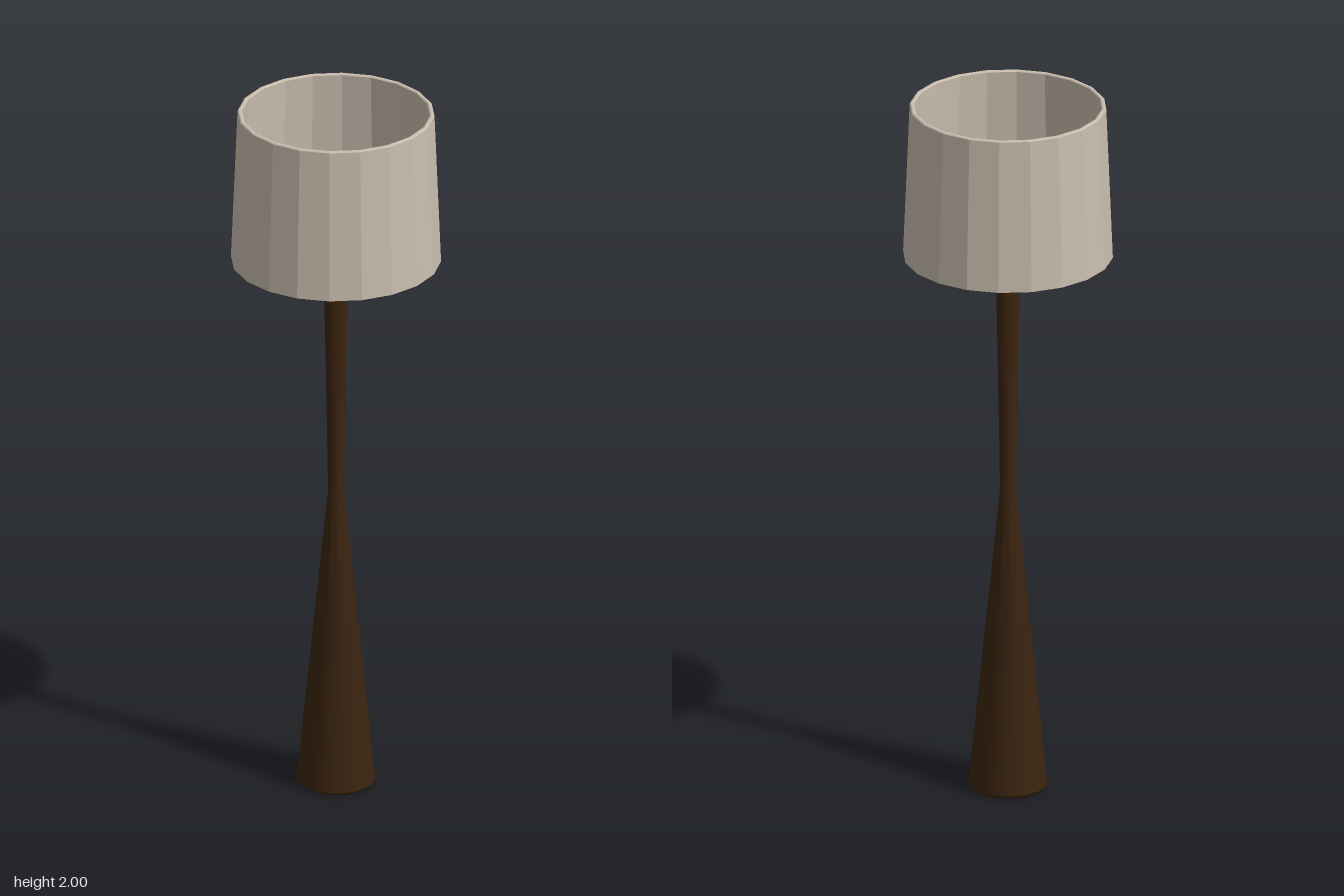
import * as THREE from 'three';
import { toCreasedNormals } from 'three/addons/utils/BufferGeometryUtils.js';

const SIDES = 20;

const colour = (name, hex) => {
  const m = new THREE.MeshStandardMaterial({ color: hex });
  m.name = name;
  return m;
};

// Turned part from [radius, height] pairs; crease 0 gives flat facets
function turned(points, crease) {
  const g = new THREE.LatheGeometry(points.map(([r, y]) => new THREE.Vector2(r, y)), SIDES);
  return toCreasedNormals(g, crease);
}

export function createModel() {
  const lamp = new THREE.Group();
  lamp.name = 'floorLamp';

  const wood = colour('dark wood', 0x3b2410);
  const felt = colour('base felt', 0x351c1a);
  const fabric = colour('beige fabric', 0xc9bdae);
  const metal = colour('grey metal', 0x85838a);

  const add = (name, geometry, material) => {
    const mesh = new THREE.Mesh(geometry, material);
    mesh.name = name;
    lamp.add(mesh);
    return mesh;
  };

  // Hourglass post: wide foot, narrow waist, slightly wider top
  add('post', turned([
    [0.102, 0], [0.108, 0.008], [0.022, 0.87], [0.023, 0.95], [0.034, 1.56], [0.035, 1.62],
  ], 0.5), wood);
  const foot = add('footPad', new THREE.CircleGeometry(0.102, SIDES), felt);
  foot.rotation.x = Math.PI / 2;

  // Collar on top of the post, then the bulb holder
  add('collar', turned([
    [0, 1.6], [0.05, 1.6], [0.055, 1.606], [0.055, 1.655], [0.05, 1.66], [0, 1.66],
  ], 0.5), wood);
  add('socket', turned([[0.034, 1.66], [0.034, 1.74], [0, 1.74]], 0.5), metal);

  // Round bulb with a short neck
  const bulb = [[0.03, 1.715]];
  for (let i = 0; i <= 10; i++) {
    const a = -1.1 + (i / 10) * (Math.PI / 2 + 1.1);
    bulb.push([Math.max(0, 0.073 * Math.cos(a)), 1.785 + 0.073 * Math.sin(a)]);
  }
  add('bulb', turned(bulb, 0.6), fabric);

  // Two rods carry the shade, one to the left and one to the back
  for (const [name, turn] of [['leftRod', 0], ['backRod', Math.PI / 2]]) {
    const rod = new THREE.CylinderGeometry(0.006, 0.006, 0.27, 8);
    rod.rotateZ(Math.PI / 2).translate(0.135, 1.59, 0).rotateY(turn);
    add(name, rod, metal);
  }

  // Faceted tapering shade with thin walls and a softened upper rim
  add('shade', turned([
    [0.278, 1.562], [0.288, 1.562], [0.27, 1.997], [0.267, 2], [0.26, 2],
    [0.257, 1.997], [0.275, 1.565], [0.278, 1.562],
  ], 0.1), fabric);

  return lamp;
}
